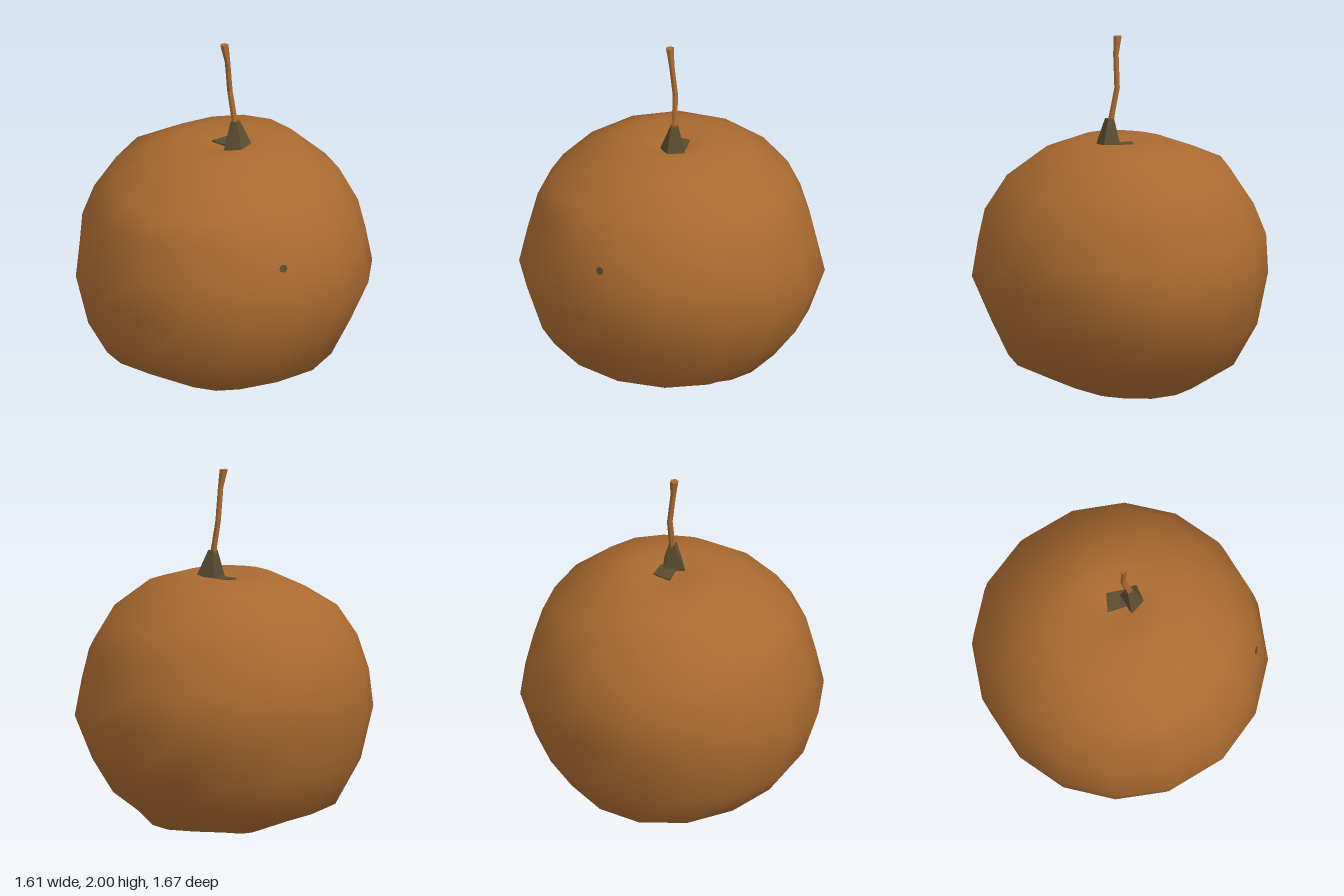
import * as THREE from 'three';

// Closed surface through rings of points, listed from bottom to top
function loft(rings, bottom, top, flat = false) {
  const n = rings[0].length, pos = [...rings.flat(2), ...bottom, ...top], index = [];
  const b = rings.length * n, last = b - n;
  for (let i = 0; i < n; i++) {
    const j = (i + 1) % n;
    for (let k = 0; k < rings.length - 1; k++) {
      const lo = k * n, hi = lo + n;
      index.push(lo + i, lo + j, hi + j, lo + i, hi + j, hi + i);
    }
    index.push(b, j, i, b + 1, last + i, last + j);
  }
  let geo = new THREE.BufferGeometry();
  geo.setAttribute('position', new THREE.Float32BufferAttribute(pos, 3));
  geo.setIndex(index);
  if (flat) geo = geo.toNonIndexed();
  geo.computeVertexNormals();
  return geo;
}

// Ring whose radius and height differ towards +x, -z, -x and +z
function ring([px, pxY, nz, nzY, nx, nxY, pz, pzY], n) {
  return Array.from({ length: n }, (_, i) => {
    const t = (i / n) * Math.PI * 2, c = Math.cos(t), s = Math.sin(t);
    return [
      c * (c > 0 ? px : nx),
      c * c * (c > 0 ? pxY : nxY) + s * s * (s > 0 ? nzY : pzY),
      -s * (s > 0 ? nz : pz),
    ];
  });
}

export function createModel() {
  const group = new THREE.Group();
  const skin = new THREE.MeshStandardMaterial({ color: 0xaa6a30 });
  skin.name = 'brown orange skin';
  const olive = new THREE.MeshStandardMaterial({ color: 0x5a4d30, side: THREE.DoubleSide });
  olive.name = 'dark olive';
  const add = (name, geo, mat) => {
    const mesh = new THREE.Mesh(geo, mat);
    mesh.name = name;
    group.add(mesh);
    return mesh;
  };

  // Lopsided round fruit, dimpled at both ends
  const profile = [
    [0.05, 0.04, 0.05, 0.04, 0.05, 0.04, 0.05, 0.04],
    [0.14, 0.015, 0.11, 0.01, 0.2, 0.01, 0.13, 0],
    [0.36, 0.1, 0.48, 0.07, 0.4, 0.085, 0.28, 0.05],
    [0.6, 0.21, 0.62, 0.24, 0.62, 0.16, 0.68, 0.27],
    [0.7, 0.43, 0.75, 0.4, 0.75, 0.4, 0.75, 0.37],
    [0.805, 0.66, 0.837, 0.65, 0.805, 0.7, 0.837, 0.65],
    [0.775, 0.86, 0.79, 0.85, 0.8, 0.91, 0.79, 0.86],
    [0.74, 1.03, 0.74, 1.02, 0.73, 1.08, 0.735, 1.07],
    [0.61, 1.23, 0.67, 1.18, 0.59, 1.29, 0.66, 1.18],
    [0.42, 1.37, 0.43, 1.4, 0.43, 1.36, 0.47, 1.33],
    [0.22, 1.43, 0.22, 1.44, 0.28, 1.415, 0.27, 1.425],
    [0.09, 1.4, 0.09, 1.4, 0.09, 1.4, 0.09, 1.4],
  ];
  const body = add('fruit', loft(profile.map((p) => ring(p, 16)), [0, 0.055, 0], [0, 1.39, 0]), skin);

  // Four-sided cap where the stem joins
  const capBase = [[0.135, 1.4, 0.02], [0.13, 1.4, -0.085], [0.02, 1.4, -0.06], [0.045, 1.39, 0.065]];
  const capTop = [[0.088, 1.55, 0], [0.083, 1.55, -0.035], [0.048, 1.55, -0.035], [0.045, 1.55, 0]];
  add('stemCap', loft([capBase, capTop], [0.08, 1.4, -0.01], [0.066, 1.55, -0.017], true), olive);

  // Small flat sepal lying beside the cap
  const sepalRing = (y) =>
    [[0.06, -0.08], [-0.045, -0.095], [-0.075, 0.01], [0.05, 0.015]].map(([x, z]) => [x, y, z]);
  add('sepal', loft([sepalRing(1.4), sepalRing(1.408)], [0, 1.4, -0.04], [0, 1.408, -0.04], true), olive);

  // Thin bent stem, wider at the cut end
  const stemRings = [
    [0.066, 1.5, -0.015, 0.02],
    [0.055, 1.57, -0.018, 0.017],
    [0.025, 1.72, -0.02, 0.016],
    [0.024, 1.9, 0, 0.016],
    [0.01, 2, 0.01, 0.024],
  ].map(([x, y, z, r]) => ring([r, y, r, y, r, y, r, y], 6).map((p) => [p[0] + x, p[1], p[2] + z]));
  add('stem', loft(stemRings, [0.066, 1.5, -0.015], [0.01, 2, 0.01], true), skin);

  // Dark spot on the left side, laid on the skin
  const ray = new THREE.Raycaster(new THREE.Vector3(2, 0.955, 0.35), new THREE.Vector3(-1, 0, 0));
  const hit = ray.intersectObject(body)[0];
  const spot = add('spot', new THREE.CircleGeometry(0.023, 10), olive);
  spot.position.copy(hit.point).addScaledVector(hit.face.normal, 0.004);
  spot.quaternion.setFromUnitVectors(new THREE.Vector3(0, 0, 1), hit.face.normal);

  return group;
}
